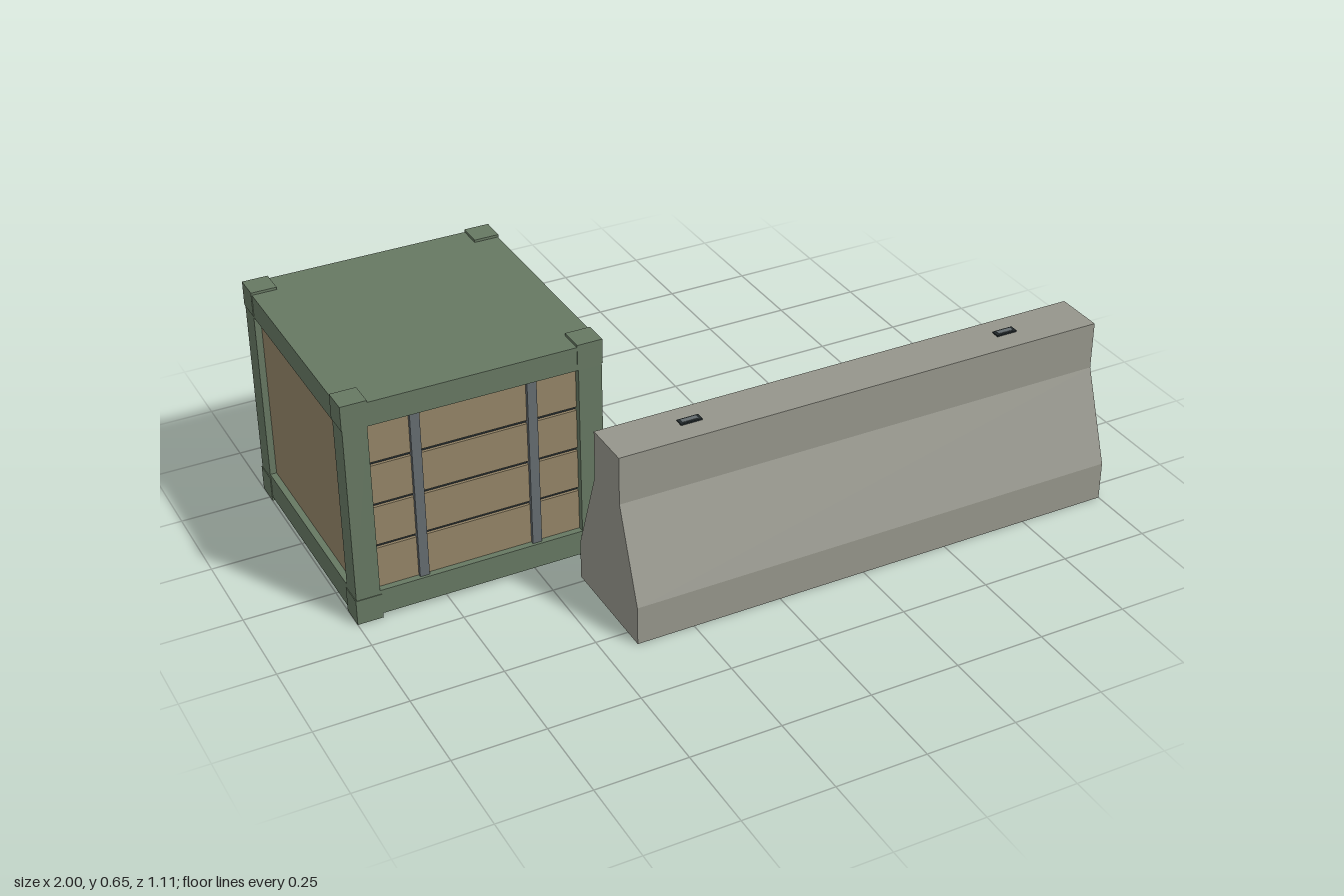
import * as THREE from 'three';

const paint = (name, color) => {
  const m = new THREE.MeshStandardMaterial({ color });
  m.name = name;
  return m;
};

export function createModel() {
  const concrete = paint('concrete', 0x95958b);
  const green = paint('green frame', 0x667862);
  const wood = paint('tan panel', 0x938467);
  const steel = paint('steel strap', 0x646b6f);
  const dark = paint('dark', 0x22292b);
  const yellow = paint('yellow reflector', 0xbd9038);

  const model = new THREE.Group();
  const barrier = new THREE.Group();
  barrier.name = 'roadBarrier';
  const crate = new THREE.Group();
  crate.name = 'crate';
  model.add(barrier, crate);

  // Box given by its two opposite corners
  const box = (parent, name, mat, [x0, y0, z0], [x1, y1, z1]) => {
    const mesh = new THREE.Mesh(new THREE.BoxGeometry(x1 - x0, y1 - y0, z1 - z0), mat);
    mesh.position.set((x0 + x1) / 2, (y0 + y1) / 2, (z0 + z1) / 2);
    mesh.name = name;
    parent.add(mesh);
    return mesh;
  };

  // Barrier body: cross-section (z, y) extruded along x
  const profile = [[0.23, 0], [0.555, 0], [0.555, 0.11], [0.463, 0.365],
    [0.463, 0.5], [0.325, 0.5], [0.325, 0.365], [0.23, 0.11]];
  const shape = new THREE.Shape(profile.map(([z, y]) => new THREE.Vector2(-z, y)));
  const bodyGeo = new THREE.ExtrudeGeometry(shape, { depth: 1.41, bevelEnabled: false });
  bodyGeo.rotateY(Math.PI / 2).translate(-0.41, 0, 0);
  const body = new THREE.Mesh(bodyGeo, concrete);
  body.name = 'barrierBody';
  barrier.add(body);

  // Lifting points on the top
  for (const x of [-0.177, 0.762]) {
    box(barrier, 'liftingPoint', dark, [x - 0.03, 0.495, 0.378], [x + 0.03, 0.504, 0.402]);
    box(barrier, 'liftingPointCap', steel, [x - 0.022, 0.5, 0.383], [x + 0.022, 0.505, 0.396]);
  }

  // Alternating reflector plates on the back
  for (let i = 0; i < 5; i++) {
    const x = -0.208 + i * 0.25;
    box(barrier, 'reflectorPlate', i % 2 ? dark : yellow,
      [x - 0.072, 0.388, 0.3205], [x + 0.072, 0.48, 0.3265]);
  }

  // Crate frame: floor, roof and four posts
  const X0 = -0.998, X1 = -0.302, Z0 = -0.548, Z1 = 0.153;
  const P = 0.065, yLow = 0.083, yHigh = 0.572;
  box(crate, 'floor', green, [X0, 0.012, Z0], [X1, yLow, Z1]);
  box(crate, 'roof', green, [X0, yHigh, Z0], [X1, 0.639, Z1]);
  for (const x of [X0, X1 - P]) {
    for (const z of [Z0, Z1 - P]) {
      box(crate, 'post', green, [x, yLow, z], [x + P, yHigh, z + P]);
    }
  }

  // Corner castings, standing a little proud of the frame
  for (const x of [-1, -0.37]) {
    for (const z of [-0.55, 0.085]) {
      for (const y of [0.003, 0.577]) {
        box(crate, 'cornerCasting', green, [x, y === 0.003 ? 0 : y, z], [x + 0.07, y + 0.069, z + 0.07]);
      }
    }
  }

  // Recessed side panels
  for (const x of [X0 + 0.018, X1 - 0.028]) {
    box(crate, 'sidePanel', wood, [x, yLow, Z0 + P], [x + 0.01, yHigh, Z1 - P]);
  }

  // Slatted front and back with dark gaps and two upright straps
  const xl = X0 + P, xr = X1 - P, step = (yHigh - yLow) / 4;
  for (const [face, s] of [[Z1, 1], [Z0, -1]]) {
    const slab = (name, mat, xa, xb, ya, yb, inA, inB) => {
      const a = face - s * inA, b = face - s * inB;
      return box(crate, name, mat, [xa, ya, Math.min(a, b)], [xb, yb, Math.max(a, b)]);
    };
    slab('gapBacking', dark, xl, xr, yLow, yHigh, 0.026, 0.036);
    for (let i = 0; i < 4; i++) {
      slab('slat', wood, xl, xr, yLow + i * step + (i ? 0.005 : 0),
        yLow + (i + 1) * step - (i < 3 ? 0.005 : 0), 0.018, 0.03);
    }
    for (const x of [-0.8075, -0.4925]) {
      slab('strap', steel, x - 0.013, x + 0.013, yLow, yHigh, 0.008, 0.03);
    }
    // Row of marker bars on the back
    if (s < 0) {
      let x = -0.51;
      for (const w of [0.014, 0.008, 0.016, 0.008, 0.014, 0.008, 0.012]) {
        slab('markerBar', dark, x - w, x, 0.335, 0.445, -0.007, 0.02);
        x -= w + 0.012;
      }
    }
  }

  return model;
}
